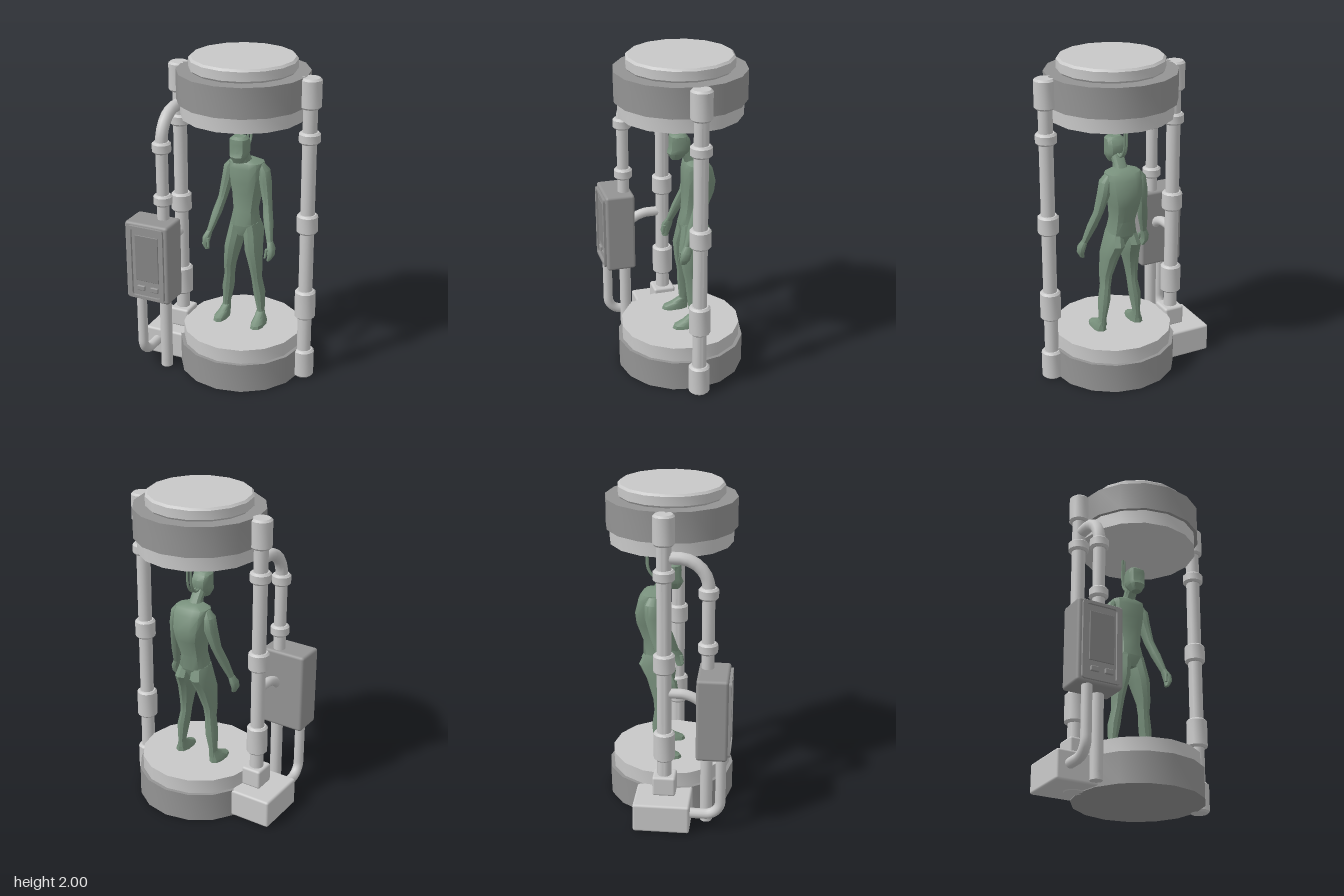
import * as THREE from 'three';
import { toCreasedNormals } from 'three/addons/utils/BufferGeometryUtils.js';
import { RoundedBoxGeometry } from 'three/addons/geometries/RoundedBoxGeometry.js';

const mat = (name, color) => {
  const m = new THREE.MeshStandardMaterial({ color });
  m.name = name;
  return m;
};

export function createModel() {
  const light = mat('light grey', 0xc8c8c8);
  const mid = mat('mid grey', 0x949494);
  const screenGrey = mat('screen grey', 0x868686);
  const green = mat('muted green', 0x78907c);
  const root = new THREE.Group();
  root.name = 'stasisChamber';
  const CX = 0.06, CZ = -0.007;

  const add = (parent, name, geo, material, x = 0, y = 0, z = 0) => {
    const m = new THREE.Mesh(geo, material);
    m.name = name;
    m.position.set(x, y, z);
    parent.add(m);
    return m;
  };

  // Round drum from y0 to y1 with an optional bevel at both rims
  const drum = (parent, name, x, z, r, y0, y1, material, sides = 16, bevel = 0) => {
    const pts = bevel
      ? [[0, y0], [r - bevel, y0], [r, y0 + bevel], [r, y1 - bevel], [r - bevel, y1], [0, y1]]
      : [[0, y0], [r, y0], [r, y1], [0, y1]];
    const geo = new THREE.LatheGeometry(pts.map(p => new THREE.Vector2(...p)), sides);
    return add(parent, name, toCreasedNormals(geo, 0.6), material, x, 0, z);
  };

  const box = (parent, name, x0, x1, y0, y1, z0, z1, material, r = 0.015) =>
    add(parent, name, new RoundedBoxGeometry(x1 - x0, y1 - y0, z1 - z0, 2, r), material,
      (x0 + x1) / 2, (y0 + y1) / 2, (z0 + z1) / 2);

  // Pipe through straight runs with one rounded corner
  const elbow = (parent, name, a, corner, b, bend, r, material = light) => {
    const [A, C, B] = [a, corner, b].map(p => new THREE.Vector3(...p));
    const towards = (p) => C.clone().add(p.clone().sub(C).setLength(bend));
    const s = towards(A), e = towards(B), k = 0.448;
    const path = new THREE.CurvePath();
    path.add(new THREE.LineCurve3(A, s));
    path.add(new THREE.CubicBezierCurve3(s, s.clone().lerp(C, 1 - k), e.clone().lerp(C, 1 - k), e));
    path.add(new THREE.LineCurve3(e, B));
    add(parent, name, new THREE.TubeGeometry(path, 40, r, 12), material);
  };

  // Closed skin over rising sections [y, x, z, halfWidth, halfDepth]
  const loft = (parent, name, sections, sides = 10, power = 0.85) => {
    const pos = [], idx = [];
    const soft = v => Math.sign(v) * Math.abs(v) ** power;
    for (const [y, x, z, rx, rz] of sections)
      for (let i = 0; i < sides; i++) {
        const a = (i + 0.5) / sides * Math.PI * 2;
        pos.push(x + rx * soft(Math.cos(a)), y, z + rz * soft(Math.sin(a)));
      }
    const n = sections.length, bottom = n * sides, top = bottom + 1;
    for (const s of [sections[0], sections[n - 1]]) pos.push(s[1], s[0], s[2]);
    for (let i = 0; i < sides; i++) {
      const k = (i + 1) % sides;
      for (let j = 0; j < n - 1; j++) {
        const a = j * sides + i, b = j * sides + k, c = a + sides, d = b + sides;
        idx.push(a, c, b, b, c, d);
      }
      idx.push(bottom, i, k, top, (n - 1) * sides + k, (n - 1) * sides + i);
    }
    const geo = new THREE.BufferGeometry();
    geo.setAttribute('position', new THREE.Float32BufferAttribute(pos, 3));
    geo.setIndex(idx);
    return add(parent, name, toCreasedNormals(geo, 0.6), green);
  };

  // Base and canopy
  drum(root, 'baseRing', CX, CZ, 0.392, 0, 0.185, mid);
  drum(root, 'baseFloor', CX, CZ, 0.37, 0.185, 0.275, light);
  drum(root, 'canopyCeiling', CX, CZ, 0.37, 1.65, 1.74, light);
  drum(root, 'canopyRing', CX, CZ, 0.392, 1.74, 1.92, mid);
  drum(root, 'canopyCap', CX, CZ, 0.318, 1.92, 2.0, light, 16, 0.013);

  // Side pillars with collars
  for (const s of [-1, 1]) {
    const pillar = new THREE.Group();
    pillar.name = s > 0 ? 'leftPillar' : 'rightPillar';
    root.add(pillar);
    const x = CX + s * 0.418;
    drum(pillar, 'post', x, CZ, 0.043, 0.01, 1.9, light, 14);
    for (const [y0, y1] of [[0, 0.185], [0.405, 0.59], [0.97, 1.09], [1.53, 1.6], [1.74, 1.92]])
      drum(pillar, 'collar', x, CZ, 0.064, y0, y1, light, 14, 0.012);
  }

  // Floor junction boxes
  box(root, 'junctionBox', -0.547, -0.27, 0.005, 0.185, -0.18, 0.16, light);
  box(root, 'pillarFoot', -0.42, -0.29, 0.18, 0.305, -0.075, 0.065, light);

  // Pipes around the console
  elbow(root, 'upperPipe', [-0.35, 0.0, 0.247], [-0.35, 1.665, 0.247], [-0.35, 1.665, CZ], 0.17, 0.037);
  for (const [y0, y1] of [[1.43, 1.5], [1.1, 1.168]])
    drum(root, 'upperPipeCollar', -0.35, 0.247, 0.058, y0, y1, light, 14, 0.012);
  drum(root, 'upperPipeEnd', -0.35, 0.247, 0.037, 0, 0.05, light, 12);
  elbow(root, 'lowerPipe', [-0.465, 0.52, 0.34], [-0.465, 0.105, 0.34], [-0.465, 0.105, 0.14], 0.09, 0.031);
  elbow(root, 'consolePipe', [-0.36, 0.84, CZ], [-0.36, 0.84, 0.15], [-0.36, 0.78, 0.22], 0.06, 0.03);

  // Control console
  const console_ = new THREE.Group();
  console_.name = 'console';
  root.add(console_);
  box(console_, 'housing', -0.547, -0.257, 0.5, 1.01, 0.195, 0.38, mid, 0.018);
  const rect = (P, w, h, r) => {
    const p = new P(), x = w / 2, y = h / 2;
    p.moveTo(-x + r, -y).lineTo(x - r, -y).quadraticCurveTo(x, -y, x, -y + r);
    p.lineTo(x, y - r).quadraticCurveTo(x, y, x - r, y).lineTo(-x + r, y);
    p.quadraticCurveTo(-x, y, -x, y - r).lineTo(-x, -y + r).quadraticCurveTo(-x, -y, -x + r, -y);
    return p;
  };
  const frame = rect(THREE.Shape, 0.24, 0.475, 0.02);
  frame.holes.push(rect(THREE.Path, 0.19, 0.44, 0.02));
  add(console_, 'frame', new THREE.ExtrudeGeometry(frame,
    { depth: 0.016, bevelEnabled: false, curveSegments: 4 }), mid, -0.402, 0.755, 0.379);
  box(console_, 'screen', -0.475, -0.32, 0.635, 0.935, 0.379, 0.387, screenGrey, 0.003);
  for (const x of [-0.44, -0.35])
    box(console_, 'button', x - 0.027, x + 0.027, 0.57, 0.603, 0.375, 0.392, mid, 0.006);

  // Standing figure
  const figure = new THREE.Group();
  figure.name = 'figure';
  root.add(figure);
  const FX = 0.04;
  loft(figure, 'torso', [
    [0.86, FX, -0.08, 0.05, 0.06], [0.93, FX, -0.09, 0.088, 0.088], [1.02, FX, -0.1, 0.073, 0.077],
    [1.13, FX, -0.122, 0.088, 0.096], [1.2, FX, -0.125, 0.104, 0.1], [1.29, FX, -0.115, 0.11, 0.088],
    [1.325, FX, -0.108, 0.108, 0.07], [1.345, FX, -0.1, 0.05, 0.045]], 12, 0.7);
  loft(figure, 'neck', [
    [1.3, FX, -0.1, 0.05, 0.05], [1.36, FX, -0.07, 0.038, 0.042], [1.43, FX, -0.02, 0.04, 0.045]]);
  loft(figure, 'head', [
    [1.355, FX, 0.015, 0.03, 0.03], [1.395, FX, 0.005, 0.052, 0.062], [1.42, FX, -0.008, 0.057, 0.064],
    [1.47, FX, -0.008, 0.058, 0.064], [1.5, FX, 0, 0.056, 0.052], [1.515, FX, 0, 0.038, 0.034]], 10, 0.7);
  for (const s of [-1, 1]) {
    const side = s > 0 ? 'left' : 'right';
    const limb = (name, rows) =>
      loft(figure, side + name, rows.map(([y, dx, ...rest]) => [y, FX + s * dx, ...rest]));
    limb('Leg', [
      [0.31, 0.118, -0.068, 0.026, 0.032], [0.36, 0.118, -0.07, 0.023, 0.03],
      [0.48, 0.106, -0.07, 0.036, 0.045], [0.58, 0.092, -0.06, 0.031, 0.042],
      [0.65, 0.088, -0.056, 0.037, 0.053], [0.78, 0.068, -0.068, 0.05, 0.083],
      [0.87, 0.054, -0.1, 0.052, 0.1], [0.94, 0.045, -0.09, 0.043, 0.078]]);
    limb('Foot', [
      [0.275, 0.127, -0.015, 0.042, 0.086], [0.295, 0.127, -0.018, 0.04, 0.082],
      [0.32, 0.122, -0.045, 0.03, 0.052], [0.35, 0.118, -0.068, 0.024, 0.031]]);
    limb('Arm', [
      [0.86, 0.203, 0, 0.018, 0.022], [0.98, 0.172, -0.045, 0.029, 0.033],
      [1.08, 0.148, -0.085, 0.027, 0.035], [1.2, 0.125, -0.108, 0.036, 0.046],
      [1.28, 0.112, -0.11, 0.036, 0.045], [1.32, 0.095, -0.108, 0.016, 0.025]]);
    limb('Hand', [
      [0.755, 0.207, 0.025, 0.012, 0.018], [0.79, 0.22, 0.02, 0.02, 0.032],
      [0.83, 0.216, 0.01, 0.024, 0.034], [0.87, 0.202, -0.002, 0.018, 0.022]]);
    limb('Thumb', [
      [0.775, 0.19, 0.045, 0.007, 0.009], [0.83, 0.197, 0.035, 0.01, 0.012]]);

    // Cable from the ceiling to the back of the head
    const cable = new THREE.CatmullRomCurve3([
      [1.66, -0.14], [1.54, -0.148], [1.46, -0.138], [1.415, -0.1], [1.42, -0.05]
    ].map(([y, z]) => new THREE.Vector3(FX + s * 0.009, y, z - (s > 0 ? 0.008 : 0))));
    add(figure, side + 'Cable', new THREE.TubeGeometry(cable, 24, 0.008, 6), green);
  }
  return root;
}
